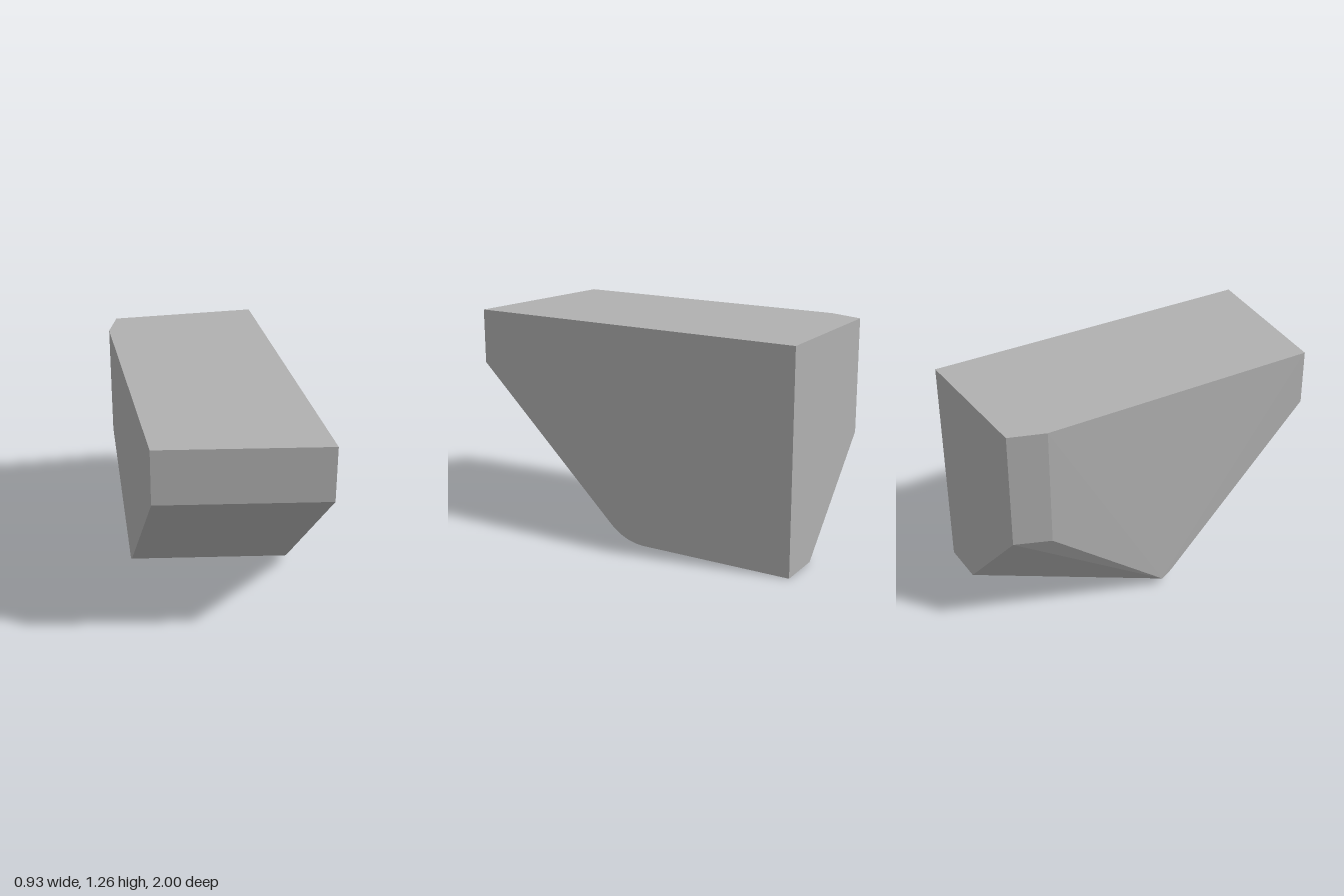
import * as THREE from 'three';
import { ConvexGeometry } from 'three/addons/geometries/ConvexGeometry.js';
import { toCreasedNormals } from 'three/addons/utils/BufferGeometryUtils.js';

const HALF = 0.465; // half width
const SKEW = 0.156; // the front slants back towards -x
const TOP = 1.26;

export function createModel() {
  const group = new THREE.Group();
  group.name = 'block';
  const grey = new THREE.MeshStandardMaterial({ color: 0xb0b0b0 });
  grey.name = 'grey';

  const points = [];
  const add = (x, y, z) => points.push(new THREE.Vector3(x, y, z));
  const addFront = (x, y, z) => add(x, y, z + (x - HALF) * SKEW);

  // Front lip, top and bottom edges
  for (const x of [-HALF, HALF]) {
    addFront(x, TOP, 1);
    addFront(x, 0.945, 1);
  }

  // Back face, cut off diagonally at its lower corner
  add(HALF, TOP, -1);
  add(HALF, 0, -1);
  add(0.2, 0, -1);
  add(-0.395, 0.597, -1);
  add(-0.395, TOP, -1);

  // Chamfered back corner
  add(-HALF, TOP, -0.8);
  add(-HALF, 0.59, -0.8);

  // Rounded bend between the floor and the front slope; the diagonal cut trims it
  const radius = 0.319, steps = 12, cutSin = 0.468;
  const bend = Math.atan(0.977);
  const angles = Array.from({ length: steps + 1 }, (_, i) => (bend * i) / steps);
  angles.push(Math.asin(cutSin));
  for (const a of angles) {
    const y = radius * (1 - Math.cos(a));
    const z = -0.097 + radius * Math.sin(a);
    const t = Math.min(1, Math.sin(a) / cutSin);
    addFront(HALF, y, z);
    addFront(-0.21 - (HALF - 0.21) * t, y, z);
  }

  const body = new THREE.Mesh(toCreasedNormals(new ConvexGeometry(points), 0.15), grey);
  body.name = 'body';
  group.add(body);
  return group;
}
